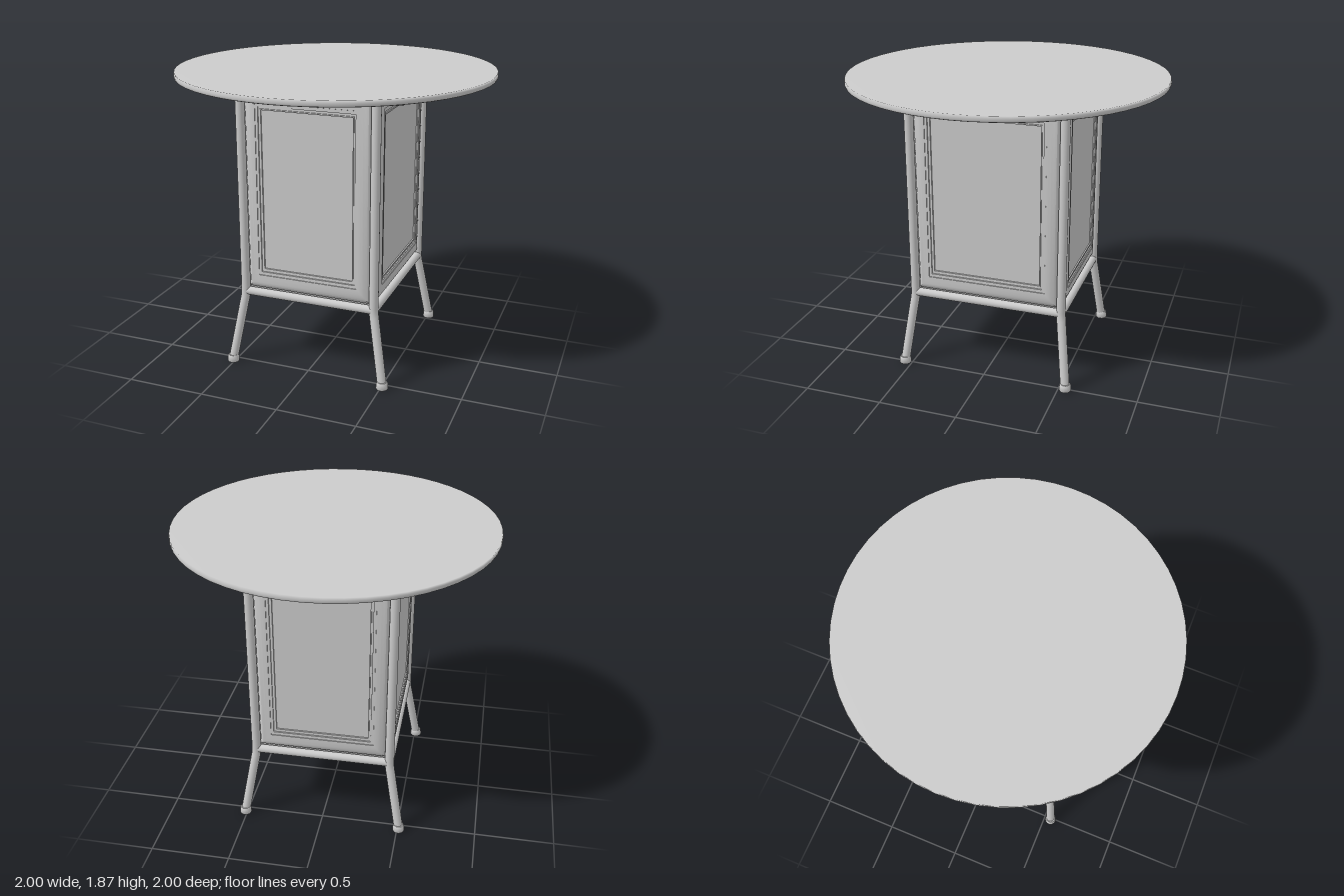
import * as THREE from 'three';
import { toCreasedNormals } from 'three/addons/utils/BufferGeometryUtils.js';

const LEG_X = 0.43, LEG_Z = 0.487;      // upright leg centres
const CORE_X = 0.405, CORE_Z = 0.46;    // cabinet half sizes

const grey = new THREE.MeshStandardMaterial({ color: 0xcccccc });
grey.name = 'light grey';

function add(parent, name, geometry, x = 0, y = 0, z = 0) {
  const mesh = new THREE.Mesh(geometry, grey);
  mesh.name = name;
  mesh.position.set(x, y, z);
  parent.add(mesh);
  return mesh;
}

const lathe = (pts, n) => new THREE.LatheGeometry(pts.map(p => new THREE.Vector2(...p)), n);

// Raised panel facing +z: nested rectangles, each at an inset and a depth.
function panelGeometry(halfW, halfH) {
  const steps = [];
  for (let i = 0; i <= 6; i++) {          // rounded border
    const a = (i / 6) * Math.PI / 2;
    steps.push([0.07 * (1 - Math.cos(a)), 0.04 * Math.sin(a)]);
  }
  steps.push([0.078, 0.04], [0.079, 0.037], [0.096, 0.037], [0.097, 0.03],
    [0.107, 0.03], [0.108, 0.034], [0.114, 0.034], [0.115, 0.026]); // mouldings
  const ring = ([inset, d]) => {
    const x = halfW - inset, y = halfH - inset * 1.25;
    return [[-x, -y, d], [x, -y, d], [x, y, d], [-x, y, d]];
  };
  const pos = [];
  const quad = (a, b, c, d) => pos.push(...a, ...b, ...c, ...a, ...c, ...d);
  for (let i = 0; i < steps.length - 1; i++) {
    const o = ring(steps[i]), n = ring(steps[i + 1]);
    for (let k = 0; k < 4; k++) {
      const j = (k + 1) % 4;
      quad(o[k], o[j], n[j], n[k]);
    }
  }
  quad(...ring(steps[steps.length - 1]));
  const g = new THREE.BufferGeometry();
  g.setAttribute('position', new THREE.Float32BufferAttribute(pos, 3));
  g.computeVertexNormals();
  return toCreasedNormals(g, 0.6);
}

// Leg that stands upright, then bends outward to the foot.
function legGeometry(sx, sz) {
  const v = (x, y, z) => new THREE.Vector3(sx * x, y, sz * z);
  const path = new THREE.CurvePath();
  const low = v(LEG_X + 0.008, 0.43, LEG_Z + 0.006), high = v(LEG_X, 0.5, LEG_Z);
  path.add(new THREE.LineCurve3(v(0.508, 0.03, 0.543), low));
  path.add(new THREE.QuadraticBezierCurve3(low, v(LEG_X, 0.465, LEG_Z), high));
  path.add(new THREE.LineCurve3(high, v(LEG_X, 1.832, LEG_Z)));
  return new THREE.TubeGeometry(path, 60, 0.029, 16);
}

// Mounting bar: chamfered along its lower edges and ends.
function cleatGeometry() {
  const g = new THREE.BoxGeometry(0.13, 0.046, 1.18, 1, 2, 1);
  const p = g.attributes.position;
  for (let i = 0; i < p.count; i++) {
    if (p.getY(i) < -0.01) {
      p.setX(i, p.getX(i) * 0.8);
      p.setZ(i, p.getZ(i) * 0.96);
    }
  }
  return toCreasedNormals(g.toNonIndexed(), 0.3);
}

export function createModel() {
  const model = new THREE.Group();
  model.name = 'roundTable';

  // Round top, softly shaded towards its rim
  add(model, 'tableTop', lathe([[0, 1.832], [0.985, 1.832], [0.997, 1.837], [1, 1.846],
    [1, 1.857], [0.997, 1.871], [0, 1.871]], 56));

  // Closed cabinet body between the legs
  add(model, 'cabinetBody', new THREE.BoxGeometry(CORE_X * 2, 1.34, CORE_Z * 2), 0, 1.165, 0);

  // Four raised panels
  const sides = [['frontPanel', 0], ['leftPanel', 1], ['backPanel', 2], ['rightPanel', 3]];
  for (const [name, k] of sides) {
    const turned = k % 2 === 1;
    const holder = new THREE.Group();
    holder.name = name;
    holder.rotation.y = k * Math.PI / 2;
    add(holder, name + 'Face', panelGeometry(turned ? CORE_Z : CORE_X, 0.65),
      0, 1.17, (turned ? CORE_X : CORE_Z) + 0.001);
    model.add(holder);
  }

  // Legs and feet
  for (const sx of [-1, 1]) for (const sz of [-1, 1]) {
    add(model, 'leg', legGeometry(sx, sz));
    add(model, 'foot', toCreasedNormals(lathe([[0, 0], [0.036, 0], [0.039, 0.006], [0.036, 0.038],
      [0.031, 0.047], [0, 0.047]], 16).toNonIndexed(), 0.7), sx * 0.51, 0, sz * 0.545);
  }

  // Lower rails joining the legs
  for (const s of [-1, 1]) {
    const across = add(model, 'crossRail',
      new THREE.CylinderGeometry(0.027, 0.027, LEG_X * 2, 16), 0, 0.492, s * LEG_Z);
    across.rotation.z = Math.PI / 2;
    const along = add(model, 'sideRail',
      new THREE.CylinderGeometry(0.027, 0.027, LEG_Z * 2, 16), s * LEG_X, 0.492, 0);
    along.rotation.x = Math.PI / 2;
    // Bars under the top
    add(model, 'mountingBar', cleatGeometry(), s * 0.553, 1.809, 0);
  }
  return model;
}
